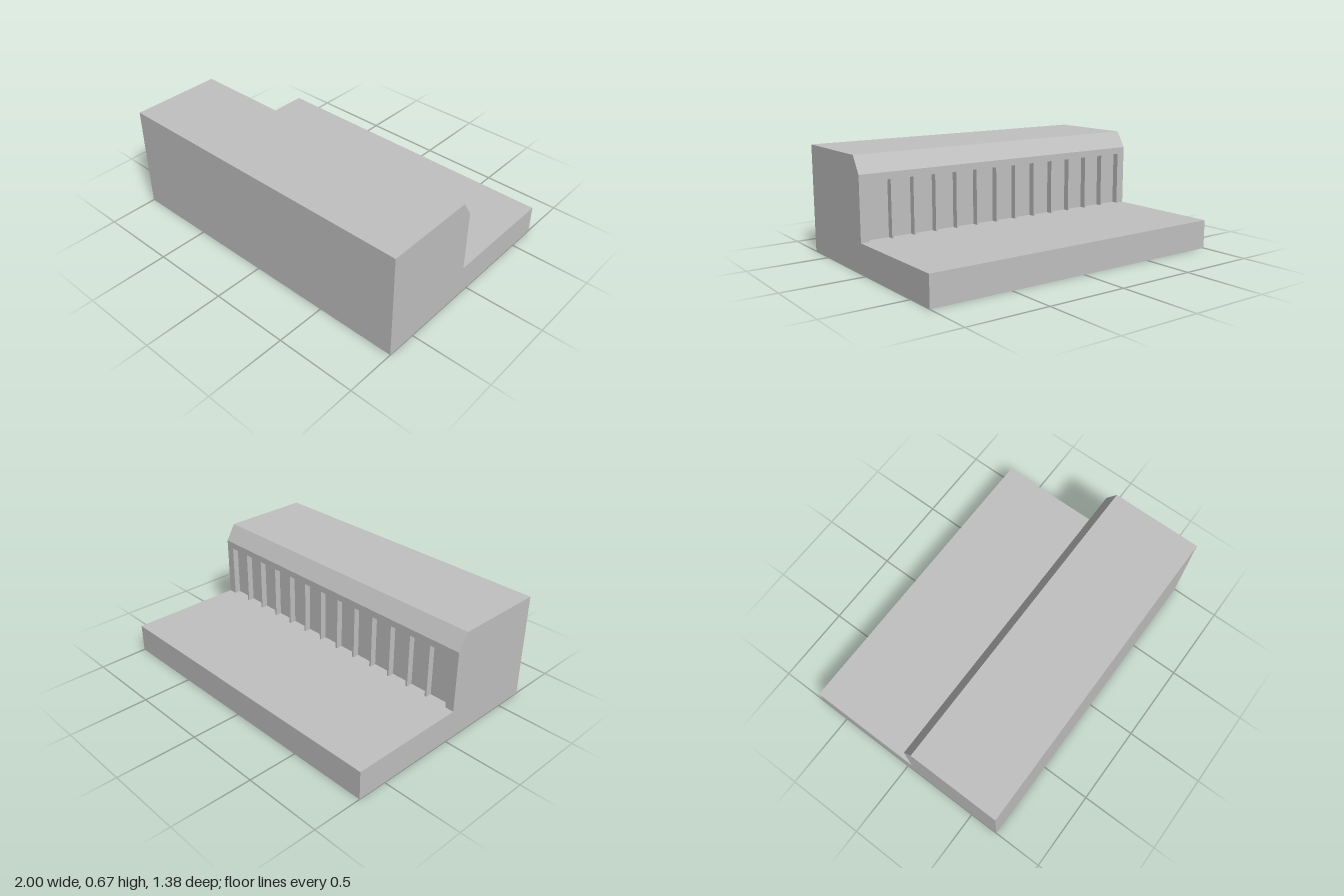
import * as THREE from 'three';

const HALF = 1;            // half length of the block
const OPEN = 0.944;        // half length of the recessed gallery
const WALL = 0.05;         // z of the rear wall
const DEPTH = 0.04;        // depth of the recess
const SLAB = 0.18;         // top of the low terrace
const LINTEL = 0.523;      // top of the recess
const BAYS = 13;

// Extrudes a (z, y) section along x between x0 and x1
function sectionGeometry(points, x0, x1) {
  const shape = new THREE.Shape(points.map(([z, y]) => new THREE.Vector2(z, y)));
  const geo = new THREE.ExtrudeGeometry(shape, { depth: x1 - x0, bevelEnabled: false });
  geo.rotateY(-Math.PI / 2);
  geo.translate(x1, 0, 0);
  return geo;
}

export function createModel() {
  const group = new THREE.Group();
  const concrete = new THREE.MeshStandardMaterial({ color: 0xc0c0c0 });
  concrete.name = 'light grey';

  const add = (name, geo) => {
    const mesh = new THREE.Mesh(geo, concrete);
    mesh.name = name;
    group.add(mesh);
    return mesh;
  };

  // Solid section: low terrace behind, tall block with chamfered rear edge in front
  const base = [[0.6875, 0], [0.6875, 0.668], [0.112, 0.668], [WALL, 0.565]];
  const terrace = [[WALL, SLAB], [-0.6875, SLAB], [-0.6875, 0]];
  const recess = [[WALL, LINTEL], [WALL + DEPTH, LINTEL], [WALL + DEPTH, SLAB]];

  // Solid ends and the recessed middle
  add('rightEnd', sectionGeometry([...base, ...terrace], -HALF, -OPEN));
  add('leftEnd', sectionGeometry([...base, ...terrace], OPEN, HALF));
  add('recessedBody', sectionGeometry([...base, ...recess, ...terrace], -OPEN, OPEN));

  // Thin fins dividing the recess into equal bays
  const finGeo = new THREE.BoxGeometry(0.012, LINTEL - SLAB, DEPTH);
  for (let i = 1; i < BAYS; i++) {
    const fin = add('bayFin', finGeo);
    fin.position.set(-OPEN + (2 * OPEN * i) / BAYS, (LINTEL + SLAB) / 2, WALL + DEPTH / 2);
  }

  return group;
}
